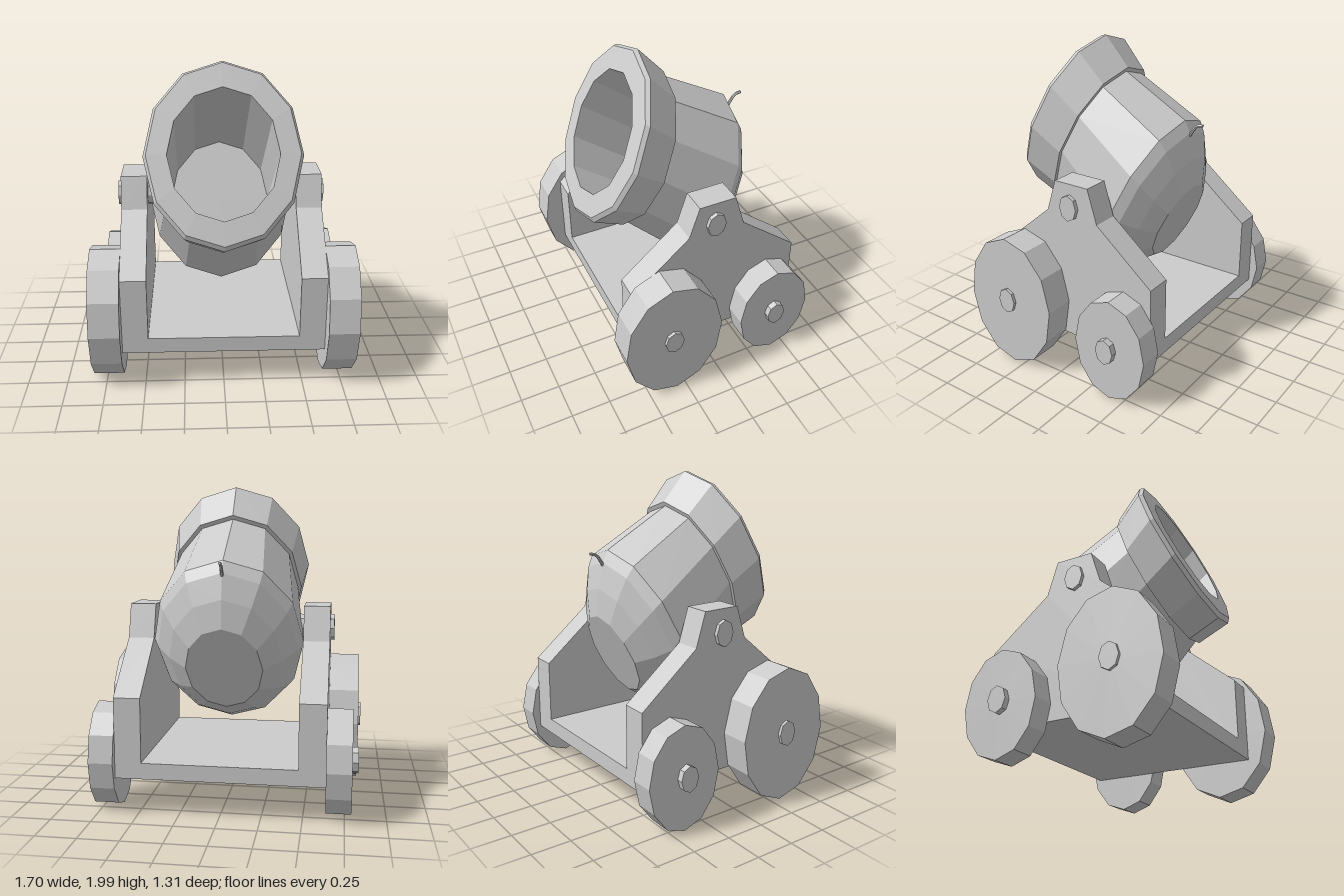
import * as THREE from 'three';

const STRETCH = 1.33; // round parts are taller than they are deep
const material = new THREE.MeshStandardMaterial({ color: 0xcccccc, flatShading: true });

function addMesh(parent, name, geometry) {
  const flat = geometry.index ? geometry.toNonIndexed() : geometry;
  flat.computeVertexNormals();
  const mesh = new THREE.Mesh(flat, material);
  mesh.name = name;
  parent.add(mesh);
  return mesh;
}

// Stretched cylinder lying along x, from x0 to x1 on the given side
function sideways(side, x0, x1, y, z, radius, sides, outerRadius = radius, turn = 0) {
  const geometry = new THREE.CylinderGeometry(radius, outerRadius, x1 - x0, sides);
  geometry.rotateZ(side * Math.PI / 2).rotateX(turn).scale(1, STRETCH, 1);
  return geometry.translate(side * (x0 + x1) / 2, y, z);
}

export function createModel() {
  const model = new THREE.Group();
  model.name = 'mortarCannon';

  // Barrel: closed profile from the breech, round the muzzle ring and down the bore
  const profile = [
    [0, 0], [0.227, 0], [0.335, 0.076], [0.42, 0.164], [0.45, 0.224],
    [0.39, 0.69], [0.412, 0.69], [0.449, 0.902], [0.432, 0.926],
    [0.315, 0.932], [0.315, 0.11], [0, 0.11],
  ].map(([r, t]) => new THREE.Vector2(r, t));
  const barrel = new THREE.LatheGeometry(profile, 12);
  barrel.scale(1.06, 1, 1).rotateX(Math.PI / 3).translate(0, 0.662, -0.382).scale(1, STRETCH, 1);
  addMesh(model, 'barrel', barrel);

  // Fuse
  const fusePath = new THREE.CatmullRomCurve3([
    new THREE.Vector3(0, 1.43, -0.43),
    new THREE.Vector3(0, 1.485, -0.465),
    new THREE.Vector3(0, 1.525, -0.495),
    new THREE.Vector3(0, 1.535, -0.538),
  ]);
  addMesh(model, 'fuse', new THREE.TubeGeometry(fusePath, 5, 0.01, 6));
  const fuseTip = new THREE.CircleGeometry(0.01, 6).rotateY(Math.PI).translate(0, 1.535, -0.538);
  addMesh(model, 'fuseTip', fuseTip);

  // Carriage
  const base = new THREE.BoxGeometry(0.95, 0.1, 1.125).translate(0, 0.28, -0.0375);
  addMesh(model, 'carriageBase', base);

  const cheekShape = new THREE.Shape([
    [0.525, 0.23], [0.525, 0.73], [0.15, 1.05], [0.085, 1.252],
    [-0.155, 1.252], [-0.22, 1.04], [-0.6, 0.73], [-0.6, 0.23],
  ].map(([z, y]) => new THREE.Vector2(z, y)));

  for (const side of [1, -1]) {
    const half = new THREE.Group();
    half.name = side > 0 ? 'leftSide' : 'rightSide';
    model.add(half);

    const cheek = new THREE.ExtrudeGeometry(cheekShape, { depth: 0.165, bevelEnabled: false });
    cheek.rotateY(-Math.PI / 2).translate(side > 0 ? 0.64 : -0.475, 0, 0);
    addMesh(half, 'carriageCheek', cheek);

    // Barrel pivot
    addMesh(half, 'trunnion', sideways(side, 0.41, 0.665, 1.105, -0.023, 0.062, 8));

    // Wheels and axle ends
    addMesh(half, 'frontWheel', sideways(side, 0.638, 0.83, 0.438, 0.33, 0.324, 12, 0.324, 0.058));
    addMesh(half, 'frontAxleEnd', sideways(side, 0.6, 0.85, 0.45, 0.34, 0.055, 8, 0.062));
    addMesh(half, 'backWheel', sideways(side, 0.638, 0.79, 0.334, -0.408, 0.248, 12));
    addMesh(half, 'backAxleEnd', sideways(side, 0.6, 0.83, 0.345, -0.4, 0.055, 8, 0.062));
  }
  return model;
}
